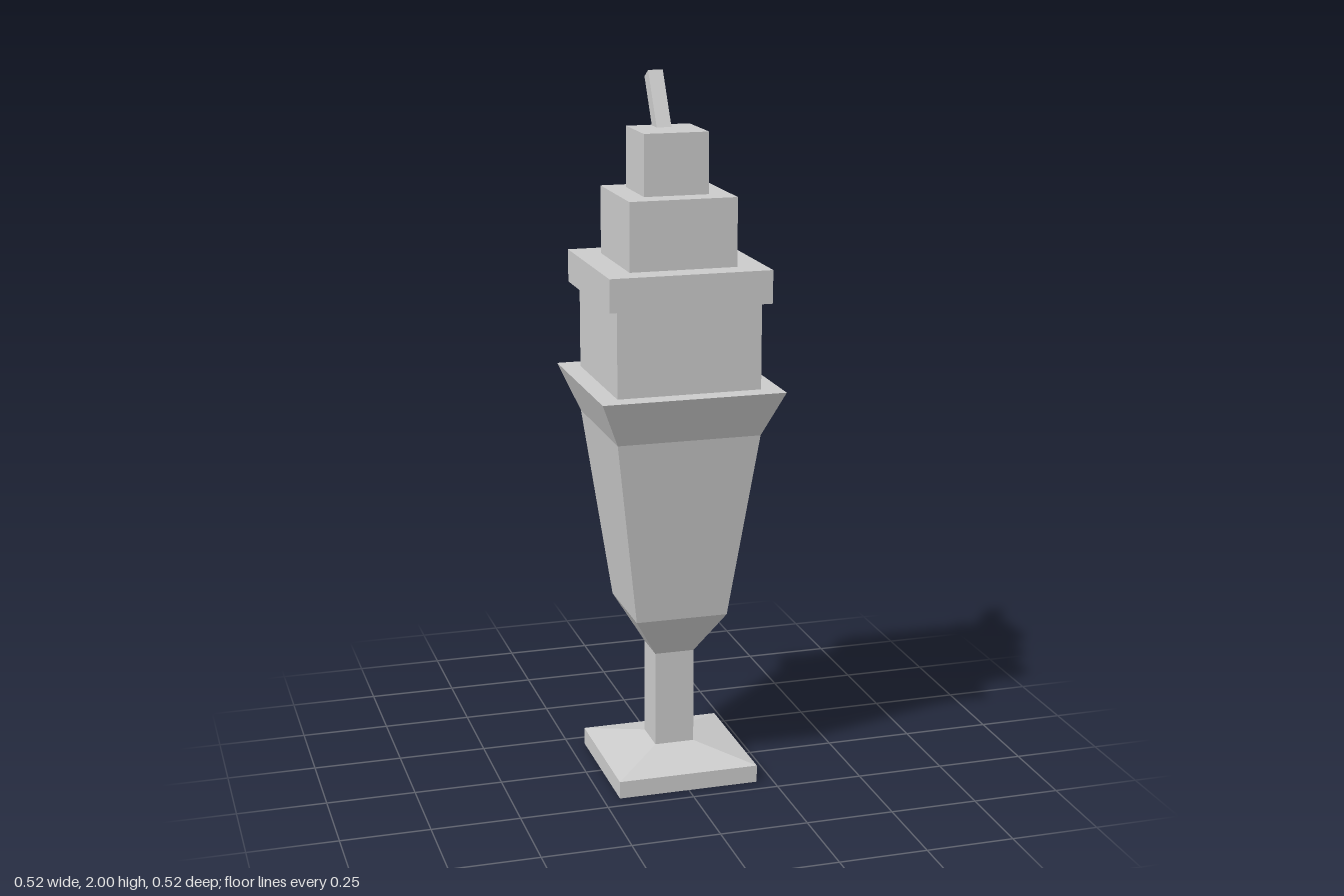
import * as THREE from 'three';

const material = new THREE.MeshStandardMaterial({ color: 0xcccccc, flatShading: true });

export function createModel() {
  const group = new THREE.Group();

  const add = (name, geometry, x = 0, y = 0, z = 0) => {
    const mesh = new THREE.Mesh(geometry, material);
    mesh.name = name;
    mesh.position.set(x, y, z);
    group.add(mesh);
    return mesh;
  };

  // Square-section glass: [half width, height] profile turned in four steps
  const profile = [
    [0, 0], [0.203, 0], [0.203, 0.05], [0.057, 0.087], [0.057, 0.365],
    [0.132, 0.492], [0.203, 1.03], [0.258, 1.16], [0, 1.16],
  ].map(([half, y]) => new THREE.Vector2(half * Math.SQRT2, y));
  const glass = new THREE.LatheGeometry(profile, 4).rotateY(Math.PI / 4).toNonIndexed();
  glass.computeVertexNormals();
  add('glass', glass);

  // Stacked filling: name, width, bottom, top, x, z
  const tiers = [
    ['iceCream', 0.406, 1.15, 1.402, 0, 0],
    ['creamBase', 0.455, 1.402, 1.494, -0.002, 0],
    ['creamMiddle', 0.302, 1.494, 1.684, -0.004, 0.006],
    ['creamTop', 0.182, 1.684, 1.853, -0.004, -0.003],
  ];
  for (const [name, width, bottom, top, x, z] of tiers) {
    add(name, new THREE.BoxGeometry(width, top - bottom, width), x, (bottom + top) / 2, z);
  }

  // Straw leaning backwards out of the top tier
  const straw = add('straw', new THREE.BoxGeometry(0.042, 0.2, 0.042), -0.004, 1.903, -0.085);
  straw.rotation.x = -Math.PI / 6;

  return group;
}
